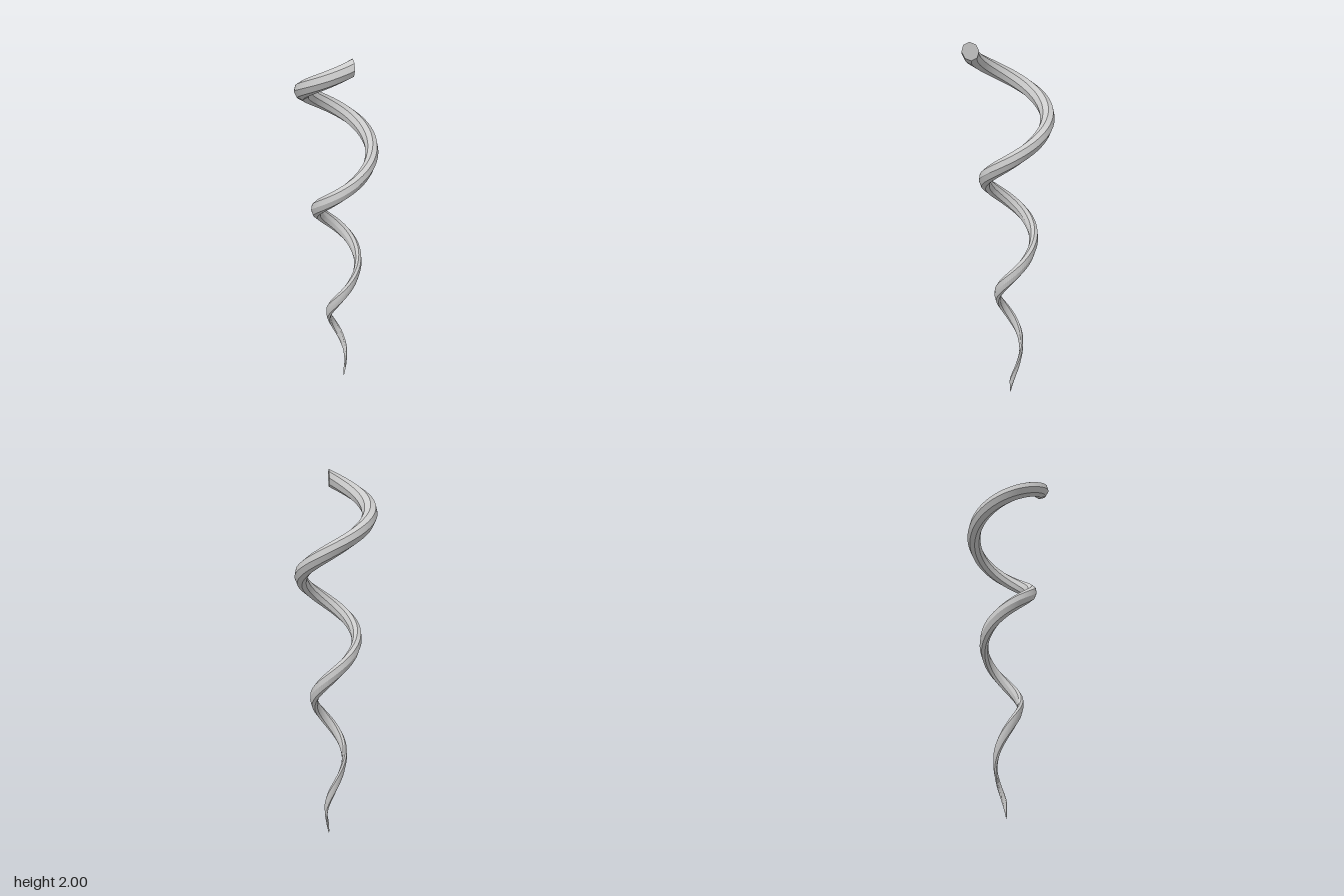
import * as THREE from 'three';
import { toCreasedNormals } from 'three/addons/utils/BufferGeometryUtils.js';

const SIDES = 8, STEPS = 180;
const SWEEP = THREE.MathUtils.degToRad(1027); // total turn, tip to top
const HALF_HEIGHT = 0.047;                    // vertical half-size of the section
const THICKNESS = 0.208;                      // section radius relative to coil radius

// Point on a coil of constant pitch whose width tapers linearly with height
function coilPoint(t, phi) {
  const y = HALF_HEIGHT + t * (2 - 2 * HALF_HEIGHT) + HALF_HEIGHT * Math.sin(phi);
  const radius = (0.023 + 0.0965 * y) * (1 + THICKNESS * Math.cos(phi));
  const theta = -t * SWEEP;
  return [0.0185 + radius * Math.cos(theta), y, -0.02 + radius * Math.sin(theta)];
}

function coilGeometry() {
  const positions = [], index = [];
  for (let i = 0; i <= STEPS; i++) {
    for (let j = 0; j < SIDES; j++) {
      positions.push(...coilPoint(i / STEPS, (j / SIDES) * Math.PI * 2));
    }
  }
  // Side walls
  for (let i = 0; i < STEPS; i++) {
    for (let j = 0; j < SIDES; j++) {
      const k = (j + 1) % SIDES;
      const a = i * SIDES + j, b = a + SIDES;
      const d = i * SIDES + k, c = d + SIDES;
      index.push(a, b, c, a, c, d);
    }
  }
  // Flat end caps
  const last = STEPS * SIDES;
  for (let j = 1; j < SIDES - 1; j++) {
    index.push(0, j, j + 1, last, last + j + 1, last + j);
  }
  const geometry = new THREE.BufferGeometry();
  geometry.setAttribute('position', new THREE.Float32BufferAttribute(positions, 3));
  geometry.setIndex(index);
  return toCreasedNormals(geometry, 0.45);
}

export function createModel() {
  const model = new THREE.Group();
  model.name = 'taperedSpiral';
  const coil = new THREE.Mesh(coilGeometry(), new THREE.MeshStandardMaterial({ color: 0xcccccc }));
  coil.name = 'spiralCoil';
  model.add(coil);
  return model;
}
